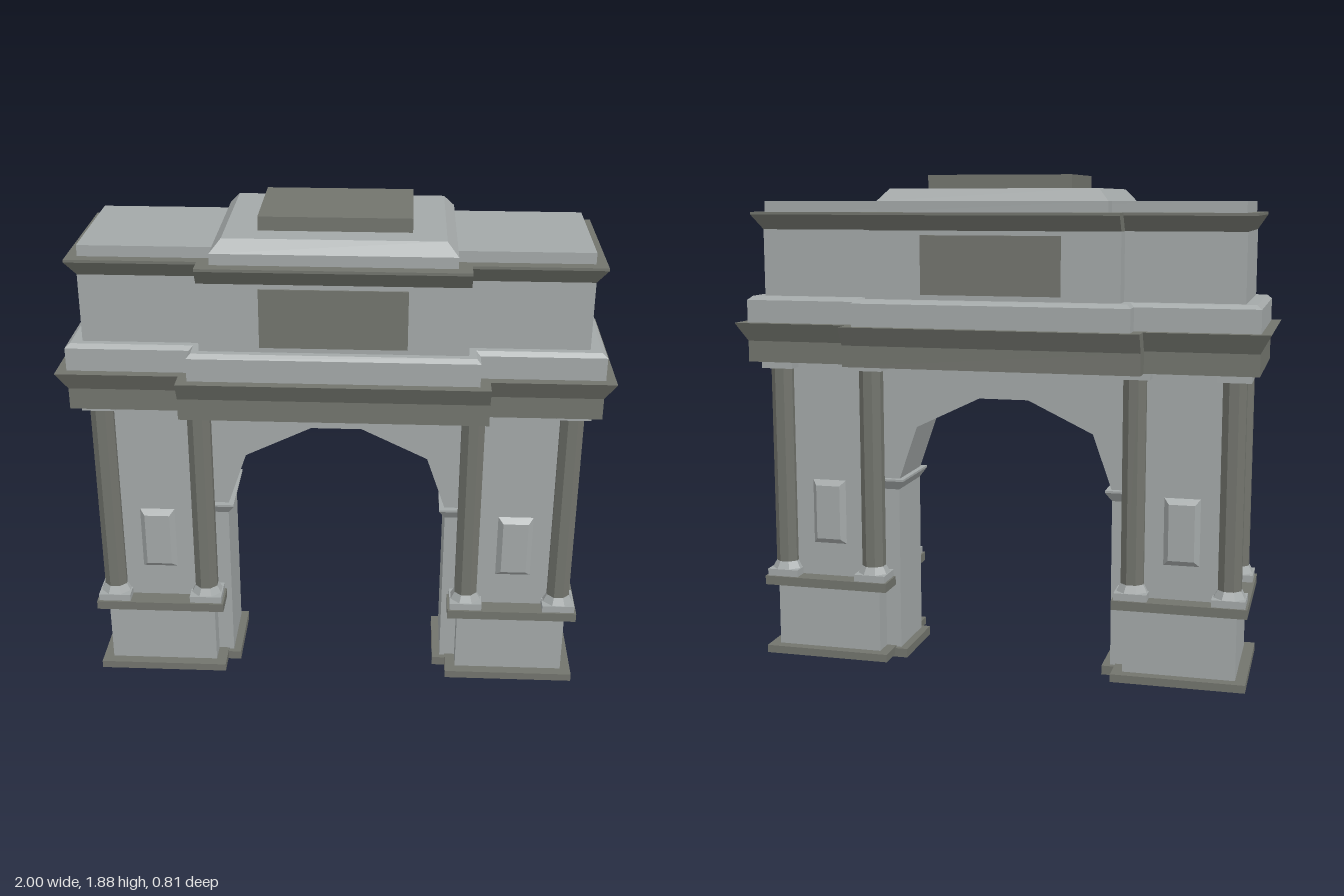
import * as THREE from 'three';

const stone = new THREE.MeshStandardMaterial({ color: 0xa3a8a8, side: THREE.DoubleSide });
stone.name = 'light stone';
const trim = new THREE.MeshStandardMaterial({ color: 0x72746d, side: THREE.DoubleSide });
trim.name = 'dark trim';

// Plan outlines, anticlockwise from above
const rect = (x, z) => [[x, z], [x, -z], [-x, -z], [-x, z]];
const cross = (wx, wz, cx, cz) => {
  const half = [[cx, cz], [cx, wz], [wx, wz], [wx, -wz], [cx, -wz], [cx, -cz]];
  return [...half, ...half.map(([x, z]) => [-x, -z])];
};

// Flat-faced loft through rings of [y, outline]
function loft(rings, capTop = true, capBottom = true) {
  const pos = [];
  const put = (y, p) => pos.push(p[0], y, p[1]);
  for (let r = 0; r < rings.length - 1; r++) {
    const [y0, lo] = rings[r], [y1, hi] = rings[r + 1];
    lo.forEach((a, i) => {
      const j = (i + 1) % lo.length;
      put(y0, a); put(y0, lo[j]); put(y1, hi[j]);
      put(y0, a); put(y1, hi[j]); put(y1, hi[i]);
    });
  }
  const cap = ([y, o], up) => {
    const tris = THREE.ShapeUtils.triangulateShape(o.map(([x, z]) => new THREE.Vector2(x, -z)), []);
    for (const t of tris) for (const k of up ? t : [t[0], t[2], t[1]]) put(y, o[k]);
  };
  if (capTop) cap(rings[rings.length - 1], true);
  if (capBottom) cap(rings[0], false);
  const g = new THREE.BufferGeometry();
  g.setAttribute('position', new THREE.Float32BufferAttribute(pos, 3));
  g.computeVertexNormals();
  return g;
}

function add(parent, name, geometry, material, x = 0, y = 0, z = 0) {
  const m = new THREE.Mesh(geometry, material);
  m.name = name;
  m.position.set(x, y, z);
  parent.add(m);
  return m;
}

// Eight-sided drum with flat faces
function drum(rTop, rBottom, y0, y1) {
  const g = new THREE.CylinderGeometry(rTop, rBottom, y1 - y0, 8, 1).toNonIndexed();
  g.rotateY(Math.PI / 8);
  g.translate(0, (y0 + y1) / 2, 0);
  g.computeVertexNormals();
  return g;
}

const slab = (hx, hz, y0, y1) => loft([[y0, rect(hx, hz)], [y1, rect(hx, hz)]]);

function column(x, z) {
  const g = new THREE.Group();
  g.name = 'column';
  g.position.set(x, 0, z);
  add(g, 'columnFoot', slab(0.062, 0.062, 0.325, 0.352), stone);
  add(g, 'columnBase', drum(0.046, 0.062, 0.352, 0.38), stone);
  add(g, 'columnShaft', drum(0.046, 0.046, 0.36, 1.15), trim);
  add(g, 'columnCapital', slab(0.062, 0.062, 1.15, 1.18), stone);
  return g;
}

function pier(side) {
  const g = new THREE.Group();
  g.name = side > 0 ? 'leftPier' : 'rightPier';
  const px = 0.69 * side, jx = 0.51 * side;

  // Hollow pedestal with open-bottomed plinth
  add(g, 'plinth', loft([[0.01, rect(0.21, 0.21)], [0.01, rect(0.25, 0.25)],
    [0.04, rect(0.25, 0.25)], [0.04, rect(0.21, 0.21)]], false, false), trim, px);
  add(g, 'pedestal', loft([[0.01, rect(0.21, 0.21)], [0.3, rect(0.21, 0.21)]], false, false), stone, px);
  add(g, 'pedestalCornice', slab(0.25, 0.25, 0.29, 0.325), trim, px);
  add(g, 'pierShaft', slab(0.18, 0.18, 0.32, 1.18), stone, px);
  for (const dx of [-0.18, 0.18]) for (const z of [-0.18, 0.18]) g.add(column(px + dx, z));

  // Bevelled panels on front and back
  for (const f of [1, -1]) {
    const panel = loft([[0, rect(0.067, 0.127)], [0.02, rect(0.048, 0.106)]], true, false);
    const m = add(g, 'pierPanel', panel, stone, px, 0.583, 0.18 * f);
    m.rotation.x = f * Math.PI / 2;
  }

  // Archway jamb with its footing and impost
  add(g, 'jambFooting', loft([[0, rect(0.09, 0.13)], [0, rect(0.12, 0.15)],
    [0.035, rect(0.12, 0.15)], [0.035, rect(0.09, 0.13)]], false, false), trim, jx);
  add(g, 'jamb', loft([[0, rect(0.09, 0.13)], [0.715, rect(0.09, 0.13)]], false, false), stone, jx);
  add(g, 'impost', loft([[0.675, rect(0.09, 0.13)], [0.71, rect(0.113, 0.153)],
    [0.718, rect(0.113, 0.153)]]), stone, jx);
  return g;
}

export function createModel() {
  const model = new THREE.Group();
  model.name = 'triumphalArch';
  model.add(pier(1), pier(-1));

  // Faceted arch wall between the piers
  const arch = new THREE.Shape([[-0.6, 1.18], [-0.6, 0.71], [-0.42, 0.71], [-0.345, 0.925], [-0.095, 1.045],
    [0.095, 1.045], [0.345, 0.925], [0.42, 0.71], [0.6, 0.71], [0.6, 1.18]].map(p => new THREE.Vector2(...p)));
  add(model, 'archWall', new THREE.ExtrudeGeometry(arch, { depth: 0.26, bevelEnabled: false }), stone, 0, 0, -0.13);

  // Entablature with projecting centre
  const base = cross(0.962, 0.29, 0.555, 0.367), lip = cross(1, 0.327, 0.555, 0.403);
  add(model, 'mainCornice', loft([[1.18, base], [1.26, base], [1.33, lip]]), trim);
  const band = cross(0.963, 0.29, 0.517, 0.367);
  add(model, 'frieze', loft([[1.33, band], [1.415, band], [1.43, cross(0.945, 0.275, 0.502, 0.352)]]), stone);

  // Attic storey and its cornice
  const wall = cross(0.905, 0.25, 0.475, 0.327);
  add(model, 'attic', loft([[1.43, wall], [1.7, wall]]), stone);
  add(model, 'atticCornice', loft([[1.68, wall], [1.735, cross(0.94, 0.288, 0.475, 0.365)],
    [1.745, cross(0.94, 0.288, 0.475, 0.365)]]), trim);
  for (const f of [1, -1]) {
    add(model, 'atticPanel', new THREE.BoxGeometry(0.52, 0.215, 0.008), trim, 0, 1.556, 0.329 * f);
  }

  // Stepped roof
  add(model, 'roofSlab', slab(0.9, 0.245, 1.745, 1.785), stone);
  add(model, 'roofStep', loft([[1.745, rect(0.427, 0.32)], [1.785, rect(0.427, 0.32)],
    [1.83, rect(0.387, 0.285)]]), stone);
  add(model, 'roofBlock', slab(0.27, 0.19, 1.83, 1.88), trim);
  return model;
}
